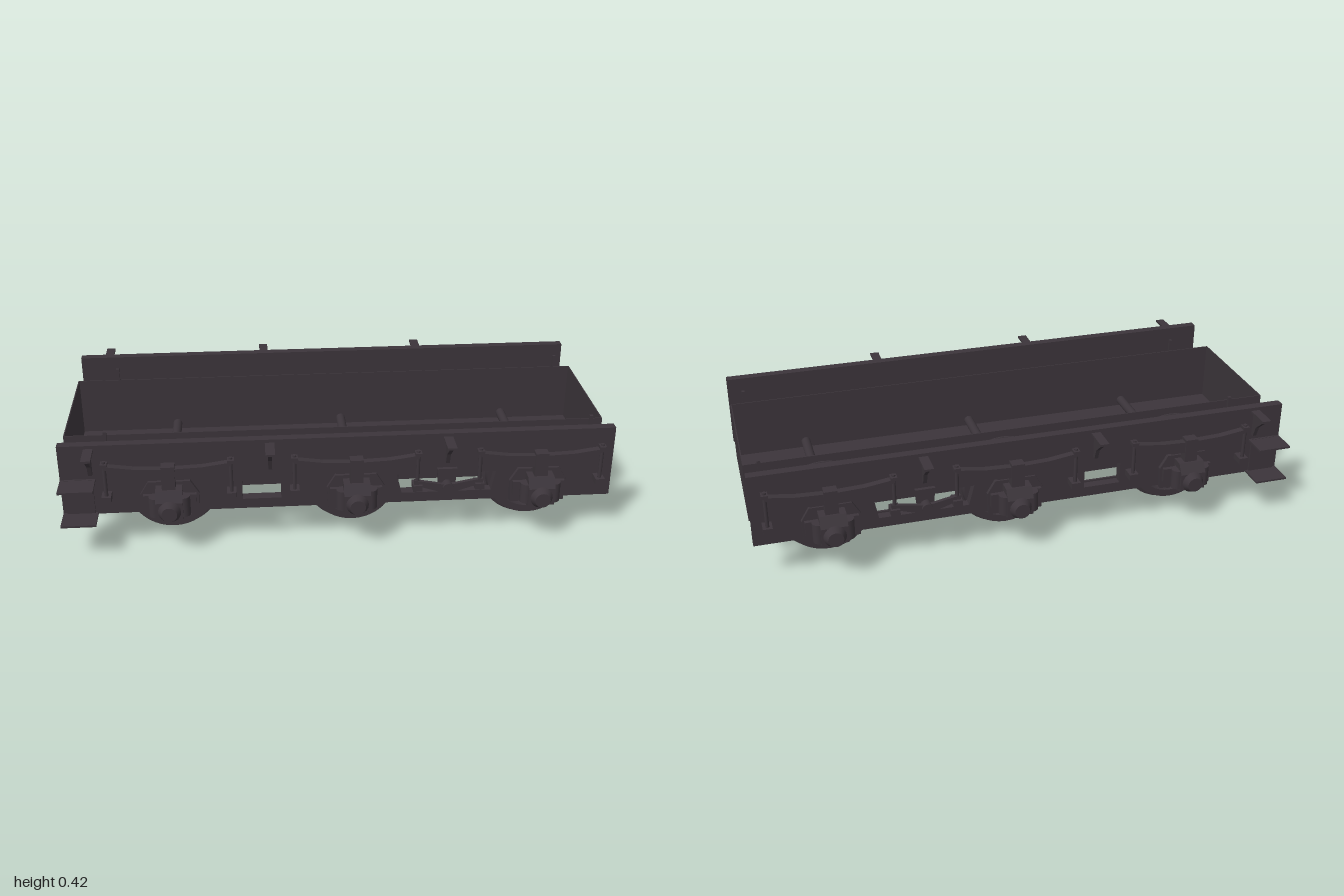
import * as THREE from 'three';
import { toCreasedNormals } from 'three/addons/utils/BufferGeometryUtils.js';

const iron = new THREE.MeshStandardMaterial({ color: 0x3b343a });
iron.name = 'dark iron';

const AXLES = [-0.615, 0.055, 0.725];
const AXLE_Y = 0.18;

// Box given by its limits
function box(x0, x1, y0, y1, z0, z1) {
  return new THREE.BoxGeometry(x1 - x0, y1 - y0, z1 - z0)
    .translate((x0 + x1) / 2, (y0 + y1) / 2, (z0 + z1) / 2);
}

// Outline in x,y (with optional holes) extruded from z0 to z1
function plate(points, z0, z1, holes = []) {
  const vec = (p) => p.map(([x, y]) => new THREE.Vector2(x, y));
  const shape = new THREE.Shape(vec(points));
  holes.forEach((h) => shape.holes.push(new THREE.Path(vec(h))));
  return new THREE.ExtrudeGeometry(shape, { depth: z1 - z0, bevelEnabled: false }).translate(0, 0, z0);
}

// Outline in z,y extruded across x
function profile(points, x0, x1) {
  return plate(points.map(([z, y]) => [-z, y]), x0, x1).rotateY(Math.PI / 2);
}

// Cylinder along z
function pin(r0, r1, x, y, z0, z1, sides = 16) {
  return new THREE.CylinderGeometry(r1, r0, z1 - z0, sides)
    .rotateX(Math.PI / 2).translate(x, y, (z0 + z1) / 2);
}

// Closed profile (radius, z) turned about the wheel axis
function turned(points, x) {
  const loop = [...points, points[0]].map(([r, z]) => new THREE.Vector2(r, z));
  return toCreasedNormals(new THREE.LatheGeometry(loop, 40), 0.6)
    .rotateX(Math.PI / 2).scale(1, 1, 1).translate(x, AXLE_Y, 0);
}

// Copy reflected in z with corner order restored
function mirrored(source) {
  const g = source.index ? source.toNonIndexed() : source.clone();
  g.scale(1, 1, -1);
  for (const attribute of Object.values(g.attributes)) {
    const { array, itemSize: n } = attribute;
    for (let i = 0; i < array.length; i += 3 * n) {
      for (let k = 0; k < n; k++) {
        const t = array[i + n + k];
        array[i + n + k] = array[i + 2 * n + k];
        array[i + 2 * n + k] = t;
      }
    }
  }
  return g;
}

export function createModel() {
  const model = new THREE.Group();
  model.name = 'underframe';

  const add = (name, geometry) => {
    const mesh = new THREE.Mesh(geometry, iron);
    mesh.name = name;
    model.add(mesh);
  };
  const both = (name, geometry) => {
    add(name + 'Left', geometry);
    add(name + 'Right', mirrored(geometry));
  };

  // Open well between the wheels
  add('wellFloor', box(-1, 1, 0.15, 0.156, -0.246, 0.246));
  both('wellSide', box(-1, 1, 0.15, 0.38, 0.242, 0.246));
  add('wellFrontEnd', box(0.996, 1, 0.15, 0.38, -0.246, 0.246));
  add('wellRearEnd', box(-1, -0.996, 0.15, 0.38, -0.246, 0.246));

  // Side frames with lightening holes
  both('sideFrame', plate(
    [[-1, 0.147], [1, 0.147], [1, 0.422], [-1, 0.422]], 0.378, 0.411,
    [
      [[-0.355, 0.185], [-0.215, 0.185], [-0.215, 0.268], [-0.355, 0.268]],
      [[0.225, 0.185], [0.555, 0.185], [0.57, 0.262], [0.205, 0.262]],
    ]));

  AXLES.forEach((x) => {
    add('axle', pin(0.018, 0.018, x, AXLE_Y, -0.48, 0.48));

    // Wheel: tyre with flange, hub and spokes
    both('tyre', turned([
      [0.132, 0.256], [0.18, 0.256], [0.18, 0.262], [0.163, 0.266], [0.16, 0.303], [0.132, 0.303],
    ], x));
    both('hub', pin(0.042, 0.036, x, AXLE_Y, 0.258, 0.31, 24));
    for (let i = 0; i < 10; i++) {
      const spoke = new THREE.BoxGeometry(0.016, 0.108, 0.02)
        .translate(0, 0.086, 0).rotateZ((i * Math.PI) / 5).translate(x, AXLE_Y, 0.28);
      both('spoke', spoke);
    }

    // Horn guide, axle box and its cover
    both('hornGuide', plate([
      [x - 0.1, 0.14], [x + 0.1, 0.14], [x + 0.105, 0.225], [x + 0.075, 0.275],
      [x - 0.075, 0.275], [x - 0.105, 0.225],
    ], 0.411, 0.425));
    both('hornCheeks', box(x - 0.095, x + 0.095, 0.175, 0.228, 0.425, 0.44));
    both('axleBox', profile([
      [0.42, 0.148], [0.475, 0.148], [0.495, 0.16], [0.495, 0.225], [0.47, 0.262], [0.42, 0.262],
    ], x - 0.048, x + 0.048));
    both('axleBoxCover', pin(0.042, 0.028, x, 0.19, 0.493, 0.518, 20));
    [-1, 1].forEach((s) => {
      both('axleBoxLug', new THREE.CylinderGeometry(0.024, 0.024, 0.075, 14)
        .translate(x + s * 0.05, 0.2, 0.462));
    });

    // Leaf spring, buckle and hangers
    both('leafSpring', plate([
      [x - 0.225, 0.348], [x - 0.15, 0.32], [x - 0.07, 0.298], [x + 0.07, 0.298], [x + 0.15, 0.32],
      [x + 0.225, 0.348], [x + 0.225, 0.36], [x + 0.12, 0.345], [x, 0.34], [x - 0.12, 0.345],
      [x - 0.225, 0.36],
    ], 0.43, 0.456));
    both('springBuckle', box(x - 0.024, x + 0.024, 0.255, 0.352, 0.424, 0.463));
    [-1, 1].forEach((s) => {
      const hx = x + s * 0.222;
      both('springHanger', new THREE.CylinderGeometry(0.007, 0.007, 0.155, 10).translate(hx, 0.297, 0.443));
      both('hangerNut', box(hx - 0.012, hx + 0.012, 0.355, 0.368, 0.428, 0.458));
      both('hangerBracket', box(hx - 0.017, hx + 0.017, 0.215, 0.238, 0.411, 0.46));
    });
  });

  // Compensating beam between the second and third springs
  both('compensatingBeam', plate([
    [0.265, 0.236], [0.365, 0.203], [0.41, 0.203], [0.515, 0.236], [0.515, 0.255],
    [0.41, 0.236], [0.365, 0.236], [0.265, 0.255],
  ], 0.436, 0.45));
  both('beamPivot', pin(0.02, 0.02, 0.388, 0.222, 0.378, 0.46));
  both('beamPivotBracket', plate([
    [0.36, 0.2], [0.416, 0.2], [0.425, 0.285], [0.351, 0.285],
  ], 0.405, 0.425));

  // Gusset brackets along the frame top
  [-0.89, -0.253, 0.388].forEach((x) => {
    both('gussetWeb', profile([[0.411, 0.31], [0.425, 0.31], [0.44, 0.352], [0.503, 0.408], [0.411, 0.408]],
      x - 0.007, x + 0.007));
    both('gussetTop', box(x - 0.017, x + 0.017, 0.402, 0.41, 0.411, 0.505));
  });

  // Footsteps at the rear end
  both('stepBack', box(-0.985, -0.885, 0.147, 0.29, 0.411, 0.419));
  [0.282, 0.147].forEach((y) => both('footstep', box(-1, -0.875, y, y + 0.007, 0.411, 0.505)));

  // Brake pull rods, cross beams and end posts
  both('pullRod', box(-0.845, 0.945, 0.104, 0.114, 0.247, 0.255));
  [-0.845, 0.945].forEach((x) => {
    add('brakeCrossBeam', box(x - 0.006, x + 0.006, 0.102, 0.114, -0.287, 0.287));
    both('brakePost', box(x - 0.006, x + 0.006, 0.102, 0.412, 0.277, 0.289));
  });

  return model;
}
